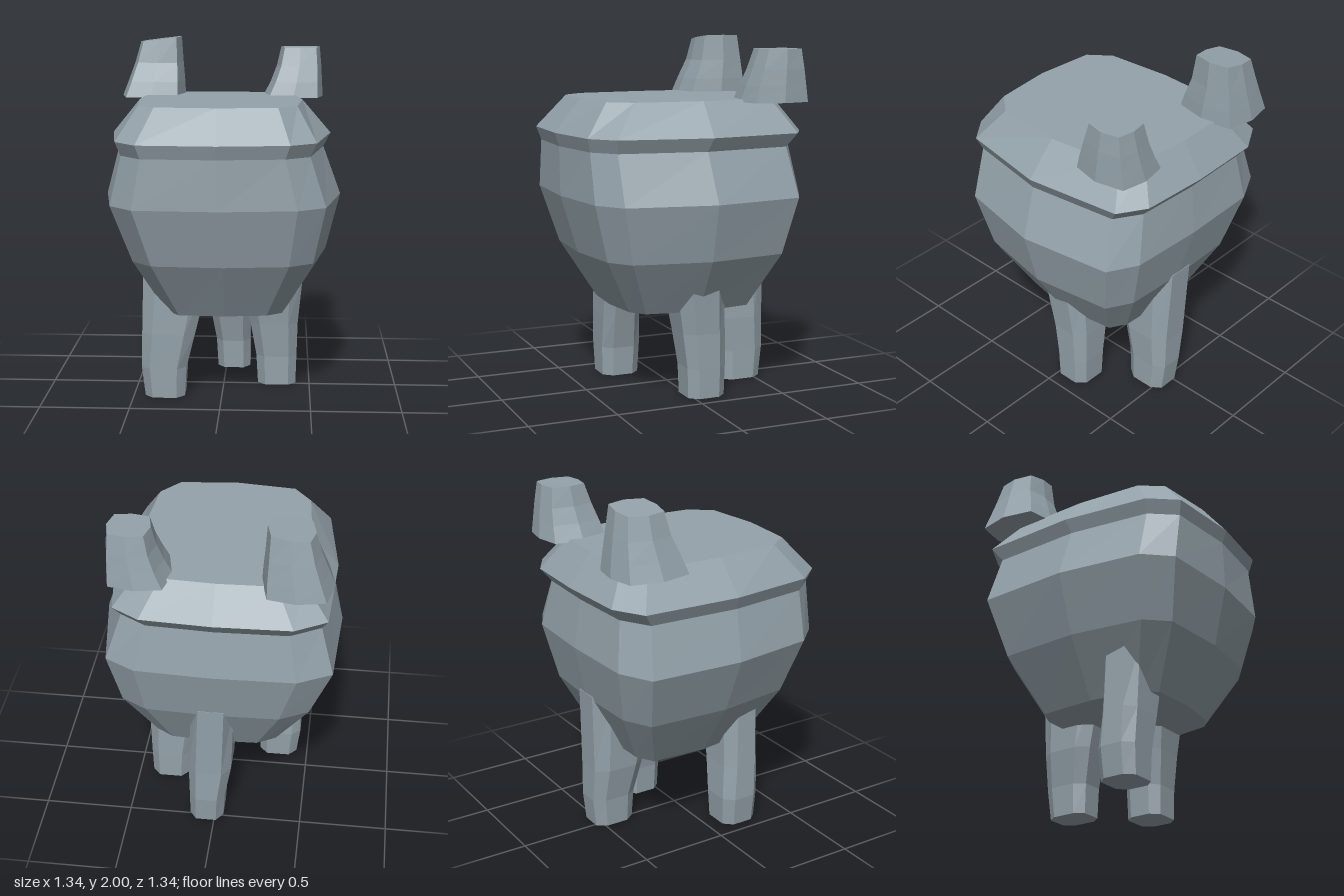
import * as THREE from 'three';

const material = new THREE.MeshStandardMaterial({ color: 0x94a2aa, flatShading: true });

// Closed faceted skin through equal-length rings, listed bottom to top,
// each ring running counter-clockwise seen from above.
function loft(name, rings) {
  const pos = [];
  const n = rings[0].length;
  const tri = (...pts) => pts.forEach((p) => pos.push(p.x, p.y, p.z));
  const centre = (ring) => ring.reduce((s, p) => s.add(p), new THREE.Vector3()).divideScalar(n);
  const bottom = centre(rings[0]);
  const topRing = rings[rings.length - 1];
  const top = centre(topRing);
  for (let j = 0; j < n; j++) {
    const k = (j + 1) % n;
    for (let i = 0; i < rings.length - 1; i++) {
      const [a, b, c, d] = [rings[i][j], rings[i][k], rings[i + 1][k], rings[i + 1][j]];
      tri(a, b, c);
      tri(a, c, d);
    }
    tri(bottom, rings[0][k], rings[0][j]);
    tri(top, topRing[j], topRing[k]);
  }
  const geometry = new THREE.BufferGeometry();
  geometry.setAttribute('position', new THREE.Float32BufferAttribute(pos, 3));
  geometry.computeVertexNormals();
  const mesh = new THREE.Mesh(geometry, material);
  mesh.name = name;
  return mesh;
}

// Fit a unit outline into the extents [y, xMin, xMax, zMin, zMax];
// tilt raises the ring towards +x.
function fitRing(outline, [y, x0, x1, z0, z1, tilt = 0]) {
  const cx = (x0 + x1) / 2, cz = (z0 + z1) / 2;
  return outline.map(([u, v]) => new THREE.Vector3(
    cx + u * (x1 - x0) / 2, y + u * tilt, cz + v * (z1 - z0) / 2));
}

const build = (name, outline, sections) => loft(name, sections.map((s) => fitRing(outline, s)));

// Uneven rounded square of the pot, with squarer front corners on its top
const potBack = [
  [1, -0.02], [0.88, -0.83], [0.63, -0.97], [0, -1], [-0.68, -0.98], [-0.96, -0.83], [-1, 0],
];
const potOutline = [...potBack, [-0.89, 0.74], [-0.69, 0.96], [0, 1], [0.63, 0.92], [0.86, 0.75]];
const topOutline = [...potBack, [-0.93, 0.71], [-0.72, 0.94], [0, 1], [0.71, 0.94], [0.93, 0.71]];
// Squarish octagon of the knobs
const knobOutline = [
  [1, 0], [0.8, -0.86], [0, -1], [-0.8, -0.86], [-1, 0], [-0.8, 0.87], [0, 1], [0.8, 0.87],
];
// Chamfered square of the legs
const legOutline = [
  [1, 0.55], [1, -0.55], [0.6, -1], [-0.6, -1], [-1, -0.55], [-1, 0.55], [-0.6, 1], [0.6, 1],
];

export function createModel() {
  const model = new THREE.Group();
  model.name = 'threeLeggedPot';

  // Pot: belly, pinched neck, rim and flat top
  const belly = [
    [0.495, -0.35, 0.39, -0.41, 0.365],
    [0.81, -0.545, 0.585, -0.57, 0.55],
    [1.13, -0.67, 0.665, -0.65, 0.64],
    [1.405, -0.595, 0.565, -0.61, 0.64],
    [1.48, -0.63, 0.605, -0.67, 0.665],
  ].map((s) => fitRing(potOutline, s));
  const top = fitRing(topOutline, [1.665, -0.48, 0.445, -0.545, 0.515]);
  model.add(loft('pot', [...belly, top]));

  // Flared knobs over the back corners
  model.add(build('rightKnob', knobOutline, [
    [1.65, -0.63, -0.25, -0.665, -0.26],
    [1.74, -0.595, -0.255, -0.65, -0.29],
    [1.85, -0.555, -0.265, -0.63, -0.335],
    [1.985, -0.52, -0.275, -0.605, -0.36, 0.015],
  ]));
  model.add(build('leftKnob', knobOutline, [
    [1.65, 0.215, 0.57, -0.64, -0.27],
    [1.74, 0.26, 0.565, -0.625, -0.295],
    [1.83, 0.295, 0.56, -0.61, -0.325],
    [1.94, 0.32, 0.55, -0.59, -0.36],
  ]));

  // Legs thicken inwards as they rise into the belly
  model.add(build('rightLeg', legOutline, [
    [0, -0.435, -0.21, 0.085, 0.305],
    [0.17, -0.455, -0.2, 0.075, 0.31],
    [0.37, -0.45, -0.15, 0.09, 0.315],
    [0.73, -0.44, -0.06, 0.1, 0.315],
  ]));
  model.add(build('leftLeg', legOutline, [
    [0, 0.2, 0.42, -0.19, 0.03],
    [0.17, 0.19, 0.425, -0.195, 0.035],
    [0.37, 0.155, 0.43, -0.195, 0.06],
    [0.64, 0.09, 0.455, -0.185, 0.1],
  ]));
  model.add(build('backLeg', legOutline, [
    [0, -0.05, 0.145, -0.545, -0.305],
    [0.17, -0.06, 0.145, -0.565, -0.295],
    [0.37, -0.095, 0.15, -0.565, -0.25],
    [0.84, -0.11, 0.13, -0.58, -0.15],
  ]));

  return model;
}
